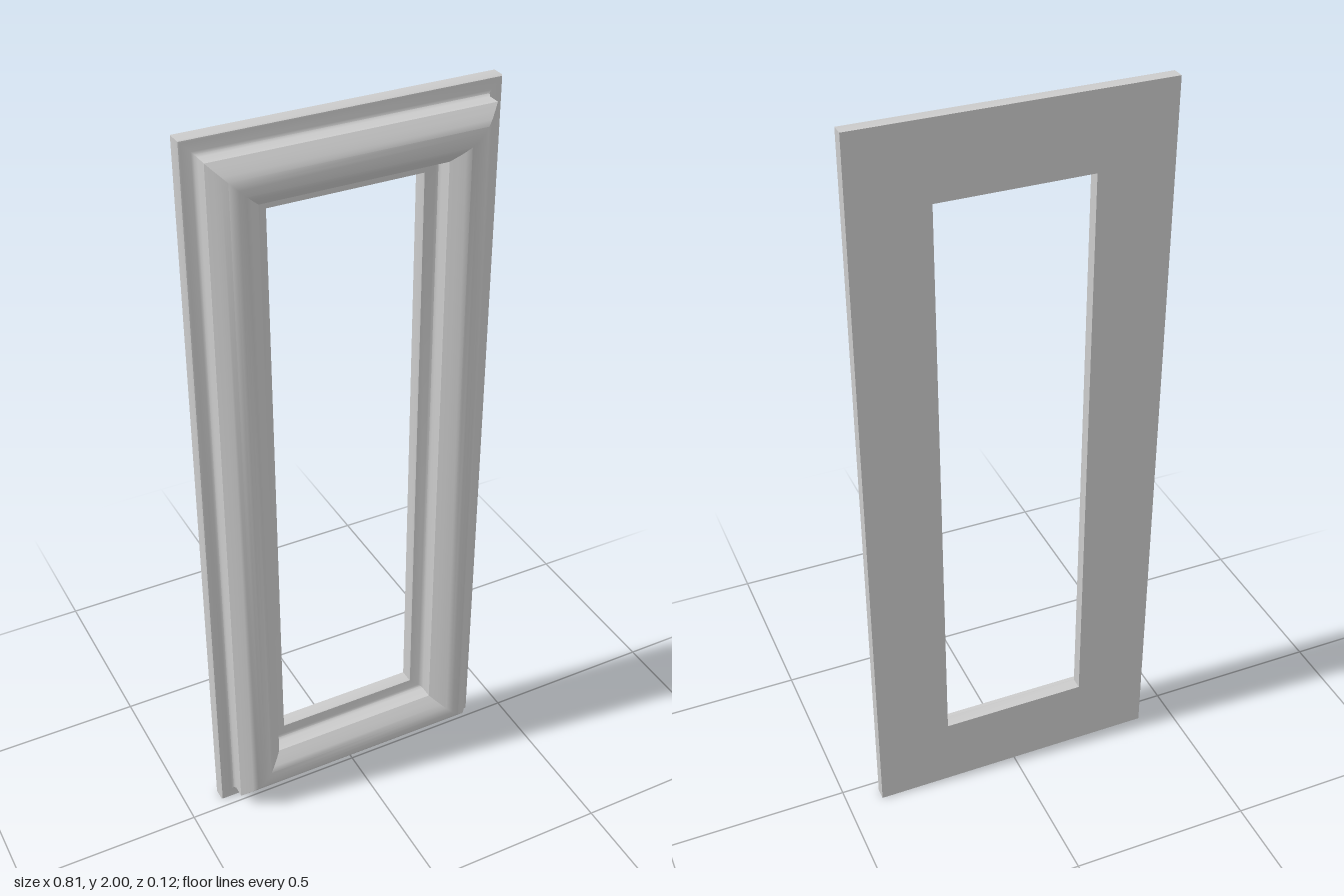
import * as THREE from 'three';
import { toCreasedNormals } from 'three/addons/utils/BufferGeometryUtils.js';

const HALF_W = 0.403, HALF_H = 1, BAND = 0.202;

// Half of the moulding section: [inset from the outer edge, z]
const half = [
  [0.0, -0.063], [0.0, -0.03], [0.002, -0.026], [0.006, -0.025],   // flange
  [0.03, -0.025], [0.036, -0.022], [0.04, -0.014],                 // cove
  [0.04, 0.021], [0.055, 0.035], [0.068, 0.046], [0.08, 0.054], [0.091, 0.059], // rounded face
];
// Mirror the half section to get the inner side
const section = [...half, [BAND / 2, 0.06], ...half.map(([d, z]) => [BAND - d, z]).reverse()];

// Sweep the section around a rectangle with mitred corners
function mitredFrame(profile, halfW, halfH) {
  const corners = [[1, -1], [1, 1], [-1, 1], [-1, -1]];
  const n = profile.length, pos = [], index = [];
  for (const [sx, sy] of corners)
    for (const [d, z] of profile) pos.push(sx * (halfW - d), sy * (halfH - d), z);
  for (let i = 0; i < 4; i++)
    for (let j = 0; j < n; j++) {
      const k = (i + 1) % 4, m = (j + 1) % n;
      const a = i * n + j, b = k * n + j, c = k * n + m, e = i * n + m;
      index.push(a, b, c, a, c, e);
    }
  const g = new THREE.BufferGeometry();
  g.setAttribute('position', new THREE.Float32BufferAttribute(pos, 3));
  g.setIndex(index);
  return toCreasedNormals(g, 0.75);
}

export function createModel() {
  const group = new THREE.Group();
  group.name = 'windowFrame';
  const material = new THREE.MeshStandardMaterial({ color: 0xcccccc });
  const frame = new THREE.Mesh(mitredFrame(section, HALF_W, HALF_H), material);
  frame.name = 'mouldedFrame';
  frame.position.y = HALF_H;
  group.add(frame);
  return group;
}
